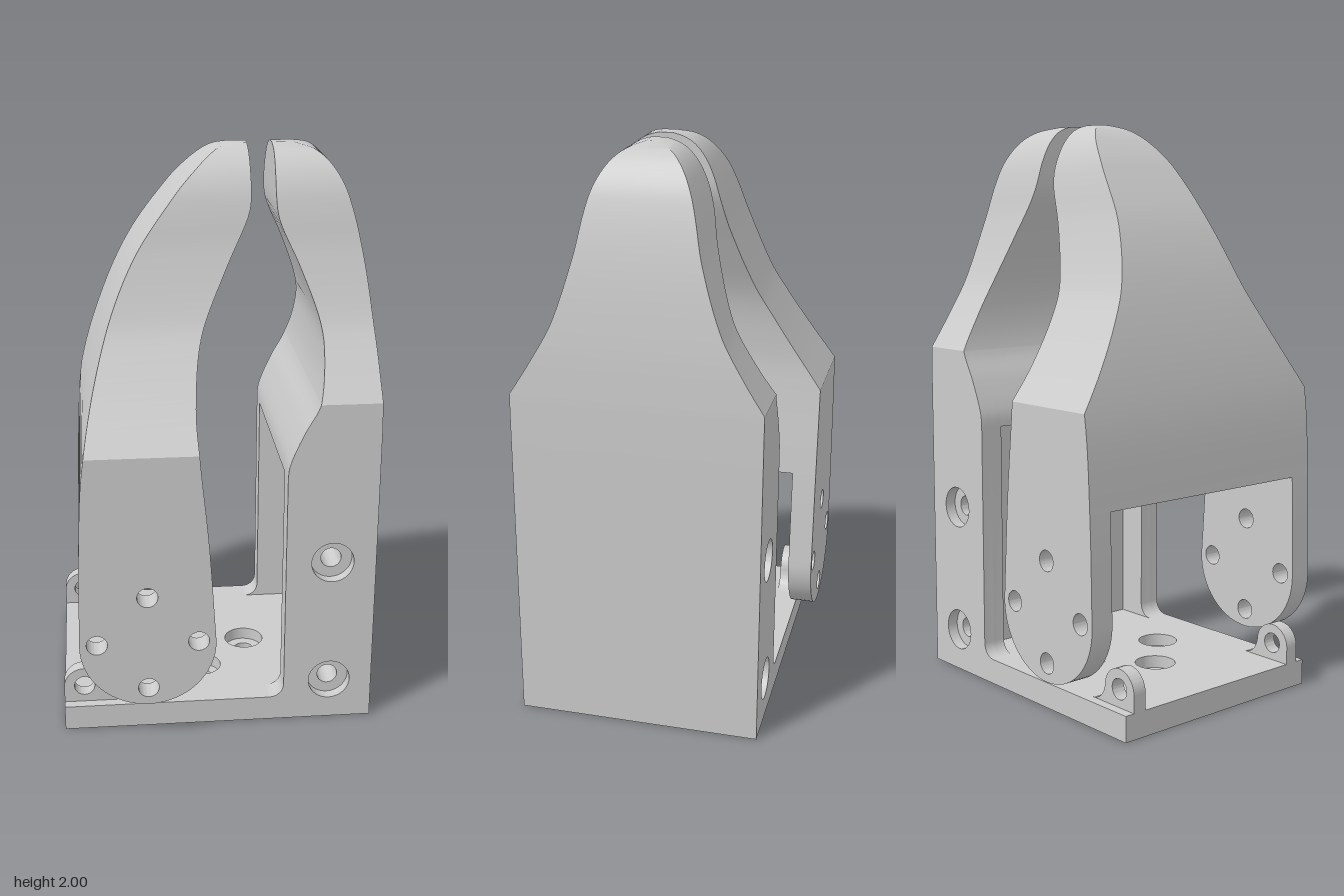
import * as THREE from 'three';
import { toCreasedNormals } from 'three/addons/utils/BufferGeometryUtils.js';

const material = new THREE.MeshStandardMaterial({ color: 0xcccccc });

// Smooth function of y through [y, value] pairs (ascending y)
function curve(pts) {
  const slope = (i) => {
    const a = pts[Math.max(i - 1, 0)], b = pts[Math.min(i + 1, pts.length - 1)];
    return (b[1] - a[1]) / (b[0] - a[0]);
  };
  return (y) => {
    let i = 0;
    while (i < pts.length - 2 && y > pts[i + 1][0]) i++;
    const [ya, va] = pts[i], [yb, vb] = pts[i + 1];
    const h = yb - ya, t = Math.min(Math.max((y - ya) / h, 0), 1), u = 1 - t;
    return va * (1 + 2 * t) * u * u + slope(i) * h * t * u * u
      + vb * t * t * (3 - 2 * t) - slope(i + 1) * h * t * t * u;
  };
}

// Jaw half depth in z, and jaw side profiles in x
const halfDepth = curve([[0.94, 0.605], [1.07, 0.515], [1.2, 0.425], [1.33, 0.343], [1.45, 0.278],
  [1.66, 0.21], [1.8, 0.18], [1.87, 0.16], [1.93, 0.13], [1.97, 0.095], [1.99, 0.06], [2, 0.025]]);
const movingOuter = curve([[0.38, -0.49], [0.75, -0.48], [1.07, -0.455], [1.4, -0.375], [1.65, -0.27],
  [1.85, -0.13], [1.94, -0.045], [1.985, 0.015], [2, 0.06]]);
const movingInner = curve([[0.38, -0.02], [0.75, -0.045], [1.07, -0.076], [1.2, -0.08], [1.4, -0.053],
  [1.6, 0.03], [1.77, 0.11], [1.83, 0.125], [2, 0.125]]);
const fixedOuter = curve([[0, 0.545], [1.1, 0.545], [1.2, 0.543], [1.4, 0.532], [1.65, 0.5],
  [1.85, 0.45], [1.94, 0.4], [1.985, 0.345], [2, 0.285]]);
const fixedInner = curve([[0.5, 0.23], [0.93, 0.23], [0.99, 0.237], [1.1, 0.283], [1.2, 0.335], [1.35, 0.357],
  [1.45, 0.347], [1.62, 0.285], [1.76, 0.222], [1.83, 0.21], [2, 0.21]]);

function range(a, b, n) {
  return Array.from({ length: n + 1 }, (_, i) => a + (b - a) * i / n);
}

function add(parent, geometry, name) {
  const mesh = new THREE.Mesh(geometry, material);
  mesh.name = name;
  parent.add(mesh);
  return mesh;
}

// Stack of rectangular sections whose width and depth vary with height
function loft(ys, x0, x1, depth) {
  const pos = [], idx = [];
  ys.forEach((y, r) => {
    const a = x0(y), b = x1(y), w = depth(y);
    pos.push(a, y, -w, b, y, -w, b, y, w, a, y, w);
    if (r === 0) return;
    for (let i = 0; i < 4; i++) {
      const j = (i + 1) % 4, lo = (r - 1) * 4, hi = r * 4;
      idx.push(lo + i, hi + i, lo + j, lo + j, hi + i, hi + j);
    }
  });
  const t = (ys.length - 1) * 4;
  idx.push(0, 1, 2, 0, 2, 3, t, t + 2, t + 1, t, t + 3, t + 2);
  const g = new THREE.BufferGeometry();
  g.setAttribute('position', new THREE.Float32BufferAttribute(pos, 3));
  g.setIndex(idx);
  return toCreasedNormals(g, 0.5);
}

// Extrude a shape from z0 to z1 with round holes [x, y] of radius r
function slab(shape, z0, z1, holes = [], r = 0.036) {
  const s = shape.clone();
  s.holes = holes.map(([x, y]) => new THREE.Path().absarc(x, y, r, 0, Math.PI * 2, true));
  const g = new THREE.ExtrudeGeometry(s, { depth: z1 - z0, bevelEnabled: false, curveSegments: 24 });
  g.translate(0, 0, z0);
  return toCreasedNormals(g, 0.5);
}

// Same slab at the front and mirrored to the back
function slabPair(parent, name, shape, z0, z1, holes, r) {
  add(parent, slab(shape, z0, z1, holes, r), name + 'Front');
  add(parent, slab(shape, -z1, -z0, holes, r), name + 'Back');
}

function polygon(points) {
  return new THREE.Shape(points.map(([x, y]) => new THREE.Vector2(x, y)));
}

const tipHeights = [...range(1.2, 1.83, 24), ...range(0, 1, 20).slice(1).map((t) => 1.83 + 0.17 * (1 - (1 - t) ** 2))];

function createBase() {
  const base = new THREE.Group();
  base.name = 'base';
  // Floor plate with four counterbored holes
  const plate = polygon([[-0.55, -0.425], [0.23, -0.425], [0.23, 0.425], [-0.55, 0.425]]);
  const holes = [[0.135, 0], [-0.225, 0], [-0.045, 0.178], [-0.045, -0.178]];
  add(base, slab(plate, 0, 0.045, holes, 0.036).rotateX(-Math.PI / 2), 'floorLower');
  add(base, slab(plate, 0.045, 0.09, holes, 0.072).rotateX(-Math.PI / 2), 'floorUpper');

  // Small rounded lugs at the outer corners
  const lug = new THREE.Shape();
  lug.moveTo(-0.55, 0.08);
  lug.lineTo(-0.34, 0.08);
  lug.lineTo(-0.34, 0.09);
  lug.quadraticCurveTo(-0.395, 0.092, -0.406, 0.15);
  lug.absarc(-0.478, 0.15, 0.072, 0, Math.PI, false);
  slabPair(base, 'lug', lug, 0.34, 0.39, [[-0.478, 0.153]]);
  return base;
}

function createFixedJaw() {
  const jaw = new THREE.Group();
  jaw.name = 'fixedJaw';
  const screws = [[0.393, 0.152], [0.393, 0.618]];
  const outer = range(0, 1.2, 12).map((y) => [fixedOuter(y), y]);
  const inner = (from) => range(1.2, from, 16).map((y) => [fixedInner(y), y]);

  // Cheeks with counterbored screw holes and a fillet to the floor
  const fillet = range(0, Math.PI / 2, 6).map((a) => [0.18 + 0.05 * Math.cos(a), 0.14 - 0.05 * Math.sin(a)]);
  const cheek = polygon([[0.23, 0], ...outer, ...inner(0.93), ...fillet, [0.23, 0.09]]);
  slabPair(jaw, 'cheekOuter', cheek, 0.385, 0.425, screws, 0.074);
  slabPair(jaw, 'cheekInner', cheek, 0.34, 0.385, screws);

  // Middle block, recessed on the inner side
  const block = polygon([[0.23, 0], ...outer, ...inner(0.93), [0.34, 0.93], [0.34, 0.09], [0.23, 0.09]]);
  add(jaw, slab(block, -0.34, 0.34, screws), 'recessedBlock');

  // Tapering tip
  add(jaw, loft(tipHeights, fixedInner, fixedOuter, (y) => Math.min(halfDepth(y), 0.425)), 'fixedTip');
  return jaw;
}

function createMovingJaw() {
  const jaw = new THREE.Group();
  jaw.name = 'movingJaw';
  const bottom = 0.75;
  // Side plates with rounded lower ends and a ring of four holes
  const arc = range(Math.PI, Math.PI * 2, 32).map((a) => [-0.255 + 0.235 * Math.cos(a), 0.38 + 0.235 * Math.sin(a)]);
  const plate = polygon([
    ...range(bottom, 0.38, 10).slice(0, -1).map((y) => [movingOuter(y), y]),
    ...arc,
    ...range(0.38, bottom, 10).slice(1).map((y) => [movingInner(y), y]),
  ]);
  const holes = [[-0.255, 0.56], [-0.43, 0.385], [-0.08, 0.385], [-0.255, 0.21]];
  slabPair(jaw, 'sidePlate', plate, 0.43, 0.515, holes);

  // Bridge and tapering tip
  const ys = [...range(bottom, 1.07, 8), ...range(1.07, 1.2, 5).slice(1, -1), ...tipHeights];
  add(jaw, loft(ys, movingOuter, movingInner, (y) => Math.min(halfDepth(y), 0.515)), 'movingTip');
  return jaw;
}

export function createModel() {
  const model = new THREE.Group();
  model.name = 'gripper';
  model.add(createBase(), createFixedJaw(), createMovingJaw());
  return model;
}
